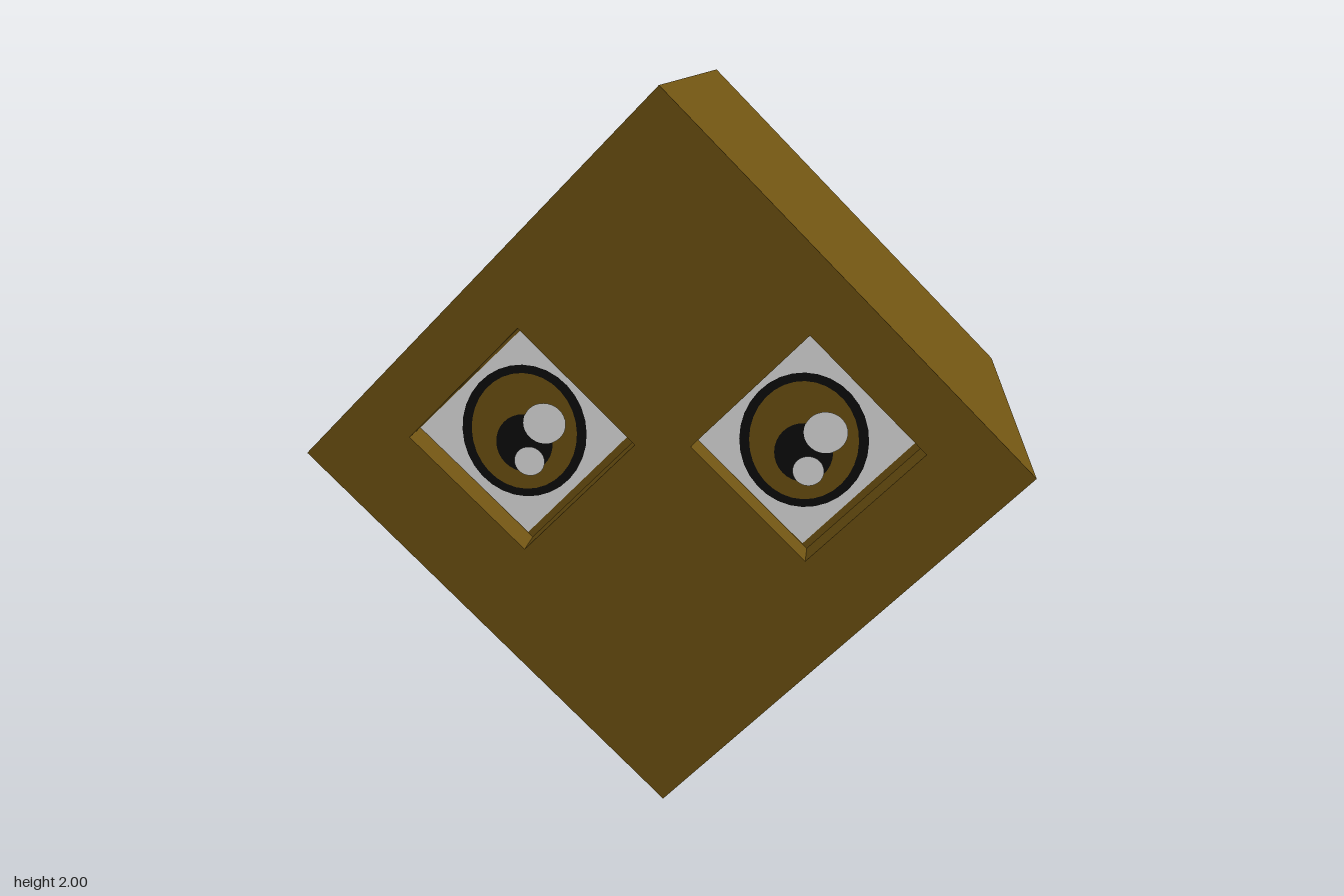
import * as THREE from 'three';

const HALF_W = 0.99, HALF_H = 1, HALF_D = 0.707, RECESS = 0.1;
const FLOOR_Z = HALF_D - RECESS;
const EYE_X = [-0.383, 0.392], EYE_Y = 1.055, EYE_R = 0.312;

const mat = (name, color) => {
  const m = new THREE.MeshStandardMaterial({ color });
  m.name = name;
  return m;
};

const polygon = (Base, pts) => new Base(pts.map(([x, y]) => new THREE.Vector2(x, y)));
const diamond = (Base, x, y, rx, ry) =>
  polygon(Base, [[x, y - ry], [x + rx, y], [x, y + ry], [x - rx, y]]);

function ellipse(Base, x, y, rx, ry) {
  const path = new Base();
  path.absellipse(x, y, rx, ry, 0, Math.PI * 2, false, 0);
  return path;
}

export function createModel() {
  const brown = mat('brown', 0x6f5312);
  const white = mat('white', 0xffffff);
  const black = mat('black', 0x0c0c0c);

  const model = new THREE.Group();
  model.name = 'cubeHead';
  const add = (parent, name, geometry, material, z) => {
    const mesh = new THREE.Mesh(geometry, material);
    mesh.name = name;
    mesh.position.z = z;
    parent.add(mesh);
  };

  // Solid cube standing on its edge
  const block = diamond(THREE.Shape, 0, HALF_H, HALF_W, HALF_H);
  add(model, 'body', new THREE.ExtrudeGeometry(block, { depth: FLOOR_Z + HALF_D, bevelEnabled: false }), brown, -HALF_D);

  // Front slab with a square socket for each eye
  const face = diamond(THREE.Shape, 0, HALF_H, HALF_W, HALF_H);
  EYE_X.forEach(x => face.holes.push(diamond(THREE.Path, x, EYE_Y, EYE_R, EYE_R)));
  add(model, 'face', new THREE.ExtrudeGeometry(face, { depth: RECESS, bevelEnabled: false }), brown, FLOOR_Z);

  // Eyes: thin layers stacked on the socket floor
  EYE_X.forEach((x, i) => {
    const eye = new THREE.Group();
    eye.name = i ? 'leftEye' : 'rightEye';
    eye.position.set(x, EYE_Y, FLOOR_Z);
    model.add(eye);

    const sclera = polygon(THREE.Shape, [[-0.012, -0.297], [0.286, 0.004], [0, 0.302], [-0.312, 0]]);
    const layers = [
      ['eyeWhite', sclera, white],
      ['irisRim', ellipse(THREE.Shape, -0.014, 0, 0.176, 0.19), black],
      ['iris', ellipse(THREE.Shape, -0.014, 0, 0.149, 0.167), brown],
      ['pupil', ellipse(THREE.Shape, -0.014, -0.033, 0.08, 0.083), black],
      ['largeHighlight', ellipse(THREE.Shape, 0.045, 0.026, 0.06, 0.058), white],
      ['smallHighlight', ellipse(THREE.Shape, 0, -0.084, 0.043, 0.042), white],
    ];
    layers.forEach(([name, shape, material], n) =>
      add(eye, name, new THREE.ShapeGeometry(shape, 16), material, 0.002 * (n + 1)));
  });

  return model;
}
